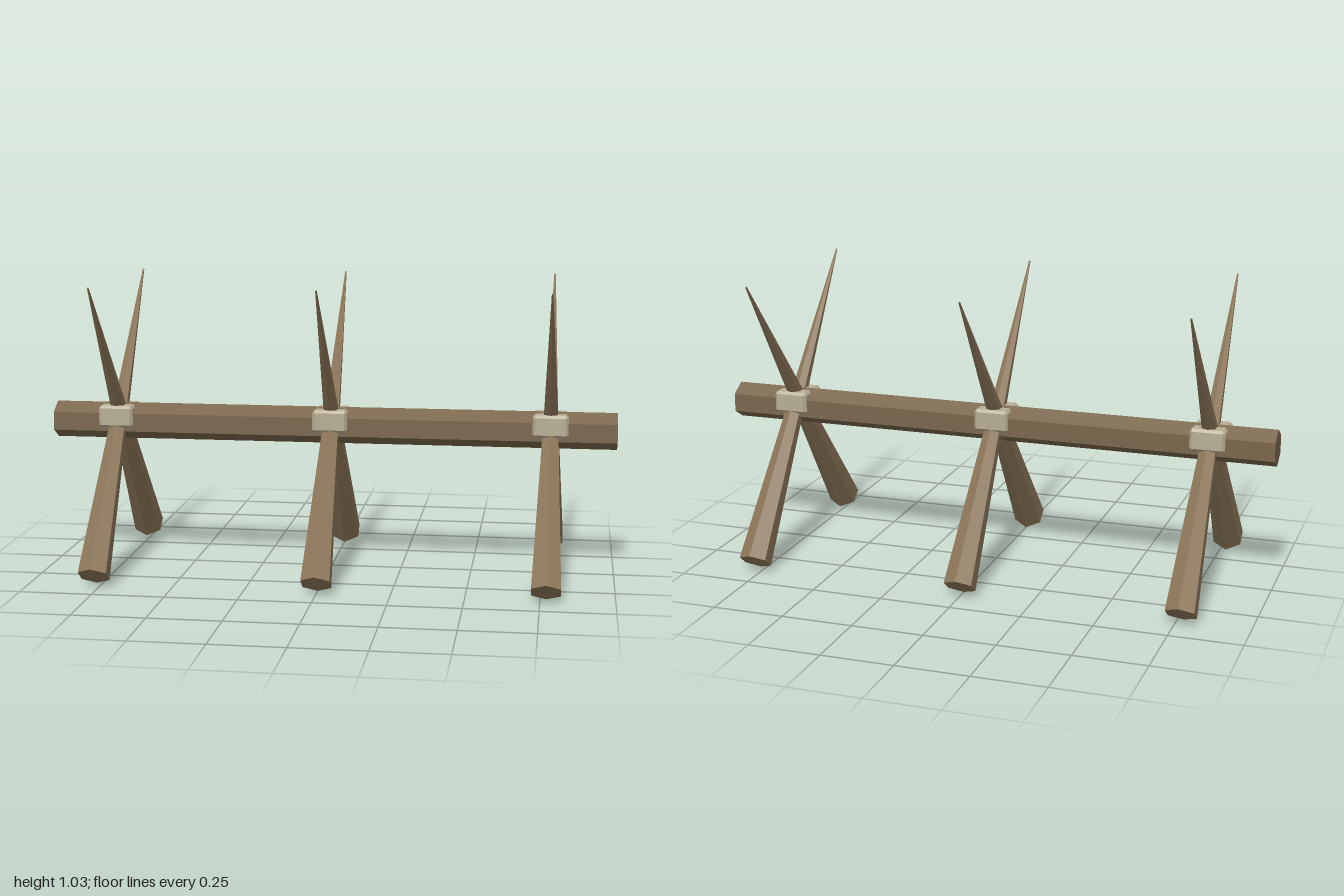
import * as THREE from 'three';
import { ConvexGeometry } from 'three/addons/geometries/ConvexGeometry.js';

const flat = (color) => new THREE.MeshStandardMaterial({ color, flatShading: true });

// Box with every edge and corner cut by the chamfer c
function chamferedBox(w, h, d, c) {
  const points = [];
  for (const x of [-1, 1]) for (const y of [-1, 1]) for (const z of [-1, 1]) {
    for (let axis = 0; axis < 3; axis++) {
      const inset = [c, c, c];
      inset[axis] = 0;
      points.push(new THREE.Vector3(
        x * (w / 2 - inset[0]), y * (h / 2 - inset[1]), z * (d / 2 - inset[2])));
    }
  }
  return new ConvexGeometry(points);
}

export function createModel() {
  const model = new THREE.Group();
  model.name = 'spikedBarricade';
  const beamWood = flat(0x7a664c);
  const stakeWood = flat(0x8b7558);
  const binding = flat(0xb8ae94);

  const add = (parent, name, geometry, material) => {
    const mesh = new THREE.Mesh(geometry, material);
    mesh.name = name;
    parent.add(mesh);
    return mesh;
  };

  // Hexagonal beam along x, with ridges at the top and bottom
  const beamGeometry = new THREE.CylinderGeometry(0.065, 0.065, 2, 6)
    .rotateY(Math.PI / 6).rotateZ(Math.PI / 2);
  add(model, 'beam', beamGeometry, beamWood).position.y = 0.513;

  // Tapered stake from its foot to its tip
  const foot = new THREE.Vector3(0, 0.036, 0.396);
  const tip = new THREE.Vector3(0, 1.024, -0.382);
  const axis = tip.clone().sub(foot);
  const stakeGeometry = new THREE.CylinderGeometry(0.003, 0.057, axis.length(), 6);
  const bindingGeometry = chamferedBox(0.123, 0.078, 0.063, 0.009);

  // Three pairs of crossed stakes, each with a binding block on both sides
  for (const x of [-0.77, 0, 0.77]) {
    const cross = new THREE.Group();
    cross.name = 'stakeCross';
    cross.position.x = x;
    model.add(cross);
    for (const side of [1, -1]) {
      const stake = add(cross, side > 0 ? 'frontStake' : 'backStake', stakeGeometry, stakeWood);
      stake.position.set(0, (foot.y + tip.y) / 2, side * (foot.z + tip.z) / 2);
      stake.rotation.x = side * Math.atan2(axis.z, axis.y);
      const block = add(cross, side > 0 ? 'frontBinding' : 'backBinding', bindingGeometry, binding);
      block.position.set(0, 0.534, side * 0.038);
    }
  }
  return model;
}
